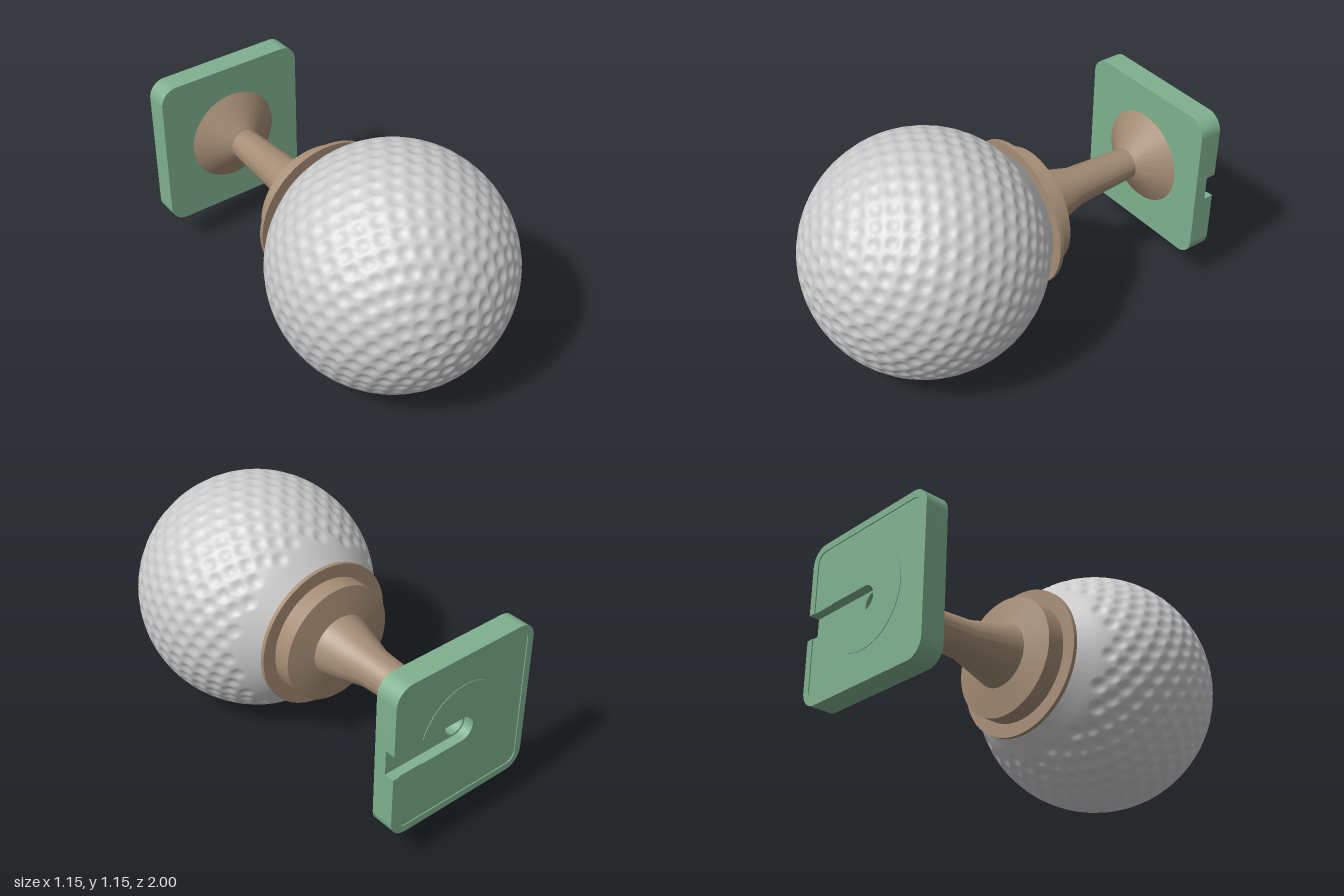
import * as THREE from 'three';
import { mergeVertices, toCreasedNormals } from 'three/addons/utils/BufferGeometryUtils.js';

const V = (r, z) => new THREE.Vector2(r, z);
const MID = 0.577;      // height of the lamp axis
const R = 0.577;        // globe radius
const GLOBE_Z = 0.423;  // globe centre
const SLOT = 0.062;     // half width of the cable slot
const HOLE = 0.052;     // cable hole radius

const material = (color) => new THREE.MeshStandardMaterial({ color });

function addMesh(parent, name, geometry, mat) {
  const mesh = new THREE.Mesh(geometry, mat);
  mesh.name = name;
  parent.add(mesh);
  return mesh;
}

// Turned part around the z axis; profile points are (radius, z)
const turn = (points, segments) => new THREE.LatheGeometry(points, segments).rotateX(Math.PI / 2);

// Globe: smooth neck, then a sphere with evenly spread round dimples
function globeGeometry() {
  const profile = [V(0.306, -0.08), V(0.333, -0.055), V(0.362, -0.028)];
  const start = Math.acos(-GLOBE_Z / R), steps = 115;
  for (let i = 0; i <= steps; i++) {
    const a = start * (1 - i / steps);
    profile.push(V(i === steps ? 0 : R * Math.sin(a), GLOBE_Z + R * Math.cos(a)));
  }
  let geo = turn(profile, 240);
  geo.deleteAttribute('uv');
  geo.deleteAttribute('normal');
  geo = mergeVertices(geo, 1e-5);

  const count = 680, dimples = [];
  for (let i = 0; i < count; i++) {
    const z = 1 - (2 * (i + 0.5)) / count;
    const r = Math.sqrt(1 - z * z), a = i * Math.PI * (3 - Math.sqrt(5));
    if (GLOBE_Z + R * z > 0.03) dimples.push(new THREE.Vector3(r * Math.cos(a), r * Math.sin(a), z));
  }
  const pos = geo.attributes.position;
  const centre = new THREE.Vector3(0, 0, GLOBE_Z), p = new THREE.Vector3();
  const radius = 0.034, depth = 0.011;
  for (let i = 0; i < pos.count; i++) {
    p.fromBufferAttribute(pos, i);
    if (p.z < 0) continue;
    p.sub(centre).normalize();
    let best = -1;
    for (const d of dimples) best = Math.max(best, p.dot(d));
    const t = (R * Math.acos(Math.min(1, best))) / radius;
    const dent = t < 1 ? depth * (1 - t * t) : 0;
    p.multiplyScalar(R - dent).add(centre);
    pos.setXYZ(i, p.x, p.y, p.z);
  }
  geo.computeVertexNormals();
  return geo;
}

// Rounded square outline, open at the slot on the +x side
function squareOutline(path, s, r) {
  const c = s - r;
  path.moveTo(s, SLOT);
  path.lineTo(s, c);
  [[1, 1], [-1, 1], [-1, -1], [1, -1]].forEach(([x, y], i) =>
    path.absarc(x * c, y * c, r, (i * Math.PI) / 2, ((i + 1) * Math.PI) / 2, false));
  path.lineTo(s, -SLOT);
  return path;
}

// Cuts the round-ended slot from the edge to the middle
function cutSlot(shape) {
  shape.lineTo(0, -SLOT);
  shape.absarc(0, 0, SLOT, 1.5 * Math.PI, 0.5 * Math.PI, true);
  shape.closePath();
  return shape;
}

function slab(shape, z0, z1) {
  const geo = new THREE.ExtrudeGeometry(shape, { depth: z1 - z0, bevelEnabled: false, curveSegments: 24 });
  return toCreasedNormals(geo.translate(0, 0, z0), 0.5);
}

function wallPlate(mat) {
  const plate = new THREE.Group();
  plate.name = 'wallPlate';
  const half = 0.393, corner = 0.085, inset = 0.035;

  // Front layer with the cable hole
  const front = squareOutline(new THREE.Shape(), half, corner);
  front.closePath();
  front.holes.push(new THREE.Path().absarc(0, 0, HOLE, 0, Math.PI * 2, true));
  addMesh(plate, 'plateFront', slab(front, -0.95, -0.885), mat);

  // Back layer with the cable slot
  const back = cutSlot(squareOutline(new THREE.Shape(), half, corner));
  addMesh(plate, 'plateBack', slab(back, -0.995, -0.95), mat);

  // Thin raised rim around the back
  const outer = squareOutline(new THREE.Path(), half, corner).getPoints(24);
  const inner = squareOutline(new THREE.Path(), half - inset, corner - inset).getPoints(24);
  addMesh(plate, 'plateRim', slab(new THREE.Shape([...outer, ...inner.reverse()]), -1, -0.995), mat);

  // Round pad in the middle of the back
  const pad = new THREE.Shape(), a = Math.asin(SLOT / 0.24);
  pad.absarc(0, 0, 0.24, a, Math.PI * 2 - a, false);
  addMesh(plate, 'backPad', slab(cutSlot(pad), -0.998, -0.995), mat);
  return plate;
}

export function createModel() {
  const model = new THREE.Group();
  model.name = 'wallLamp';
  const lamp = new THREE.Group();
  lamp.name = 'lamp';
  lamp.position.y = MID;
  model.add(lamp);

  const brown = material(0xa58d75), green = material(0x7fb08f);

  addMesh(lamp, 'globe', globeGeometry(), material(0xcccccc));

  // Hollow arm: flared foot, tapering stem and stepped collar
  const arm = [
    V(0, -0.2), V(HOLE, -0.2), V(HOLE, -0.886), V(0.24, -0.886),
    V(0.078, -0.775), V(0.096, -0.44), V(0.157, -0.213), V(0.295, -0.19),
    V(0.295, -0.1), V(0.362, -0.1), V(0.362, -0.08), V(0, -0.08),
  ];
  addMesh(lamp, 'arm', toCreasedNormals(turn(arm, 64), 0.3), brown);

  lamp.add(wallPlate(green));
  return model;
}
